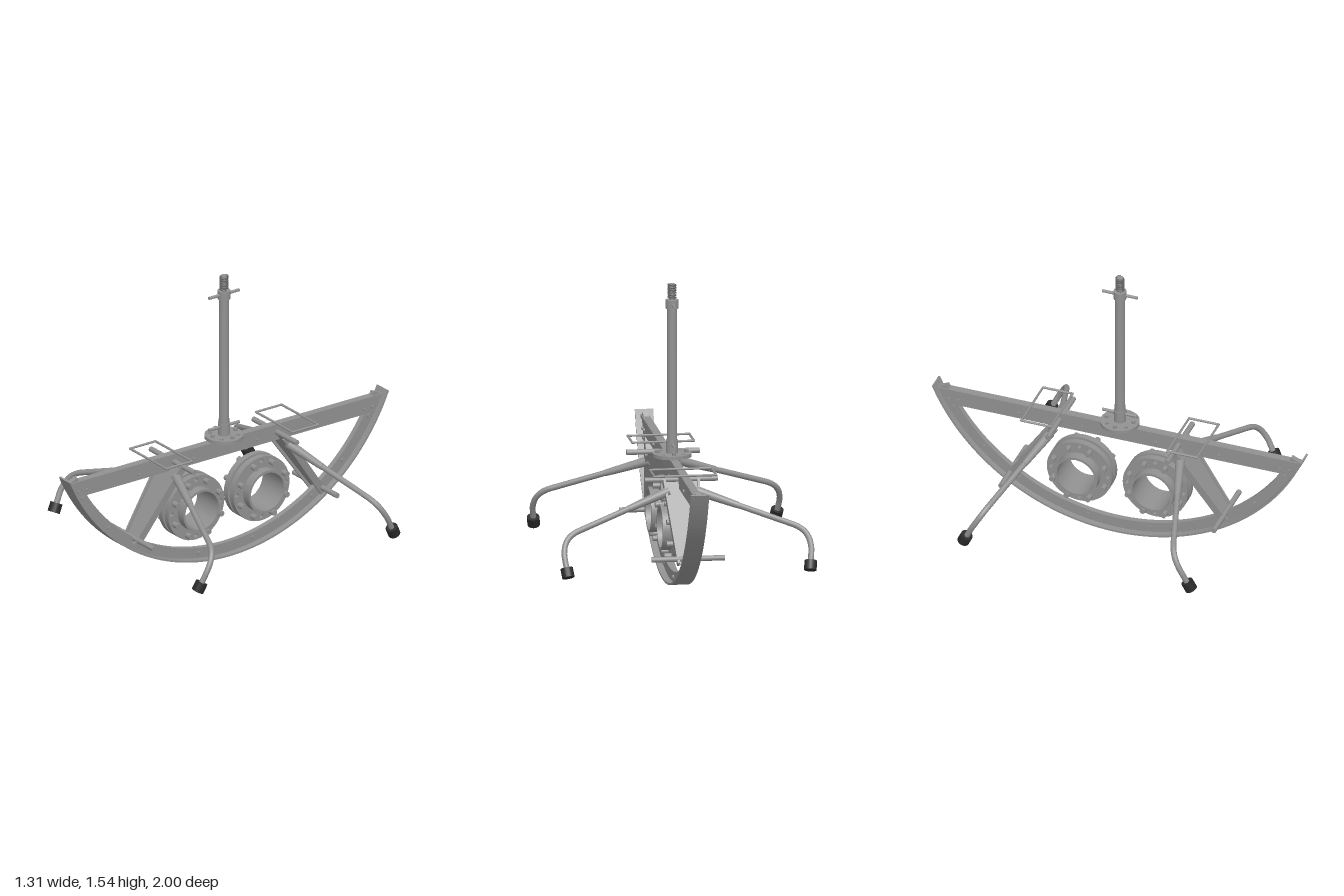
import * as THREE from 'three';
import { toCreasedNormals } from 'three/addons/utils/BufferGeometryUtils.js';

export function createModel() {
  const model = new THREE.Group();
  model.name = 'rockerStand';
  const steel = new THREE.MeshStandardMaterial({ color: 0x919191 });
  steel.name = 'grey steel';
  const dark = new THREE.MeshStandardMaterial({ color: 0x666666 });
  dark.name = 'dark steel';
  const rubber = new THREE.MeshStandardMaterial({ color: 0x2b2b2b });
  rubber.name = 'black rubber';
  const V = (x, y, z) => new THREE.Vector3(x, y, z);

  function add(name, geometry, material = steel, parent = model) {
    const mesh = new THREE.Mesh(geometry, material);
    mesh.name = name;
    parent.add(mesh);
    return mesh;
  }
  // Round bar between two points
  function rod(name, a, b, r, r2 = r, material = steel, sides = 14) {
    const dir = b.clone().sub(a);
    const mesh = add(name, new THREE.CylinderGeometry(r2, r, dir.length(), sides), material);
    mesh.position.copy(a).add(b).multiplyScalar(0.5);
    mesh.quaternion.setFromUnitVectors(V(0, 1, 0), dir.normalize());
    return mesh;
  }
  const crossBolt = (name, y, z, half, r, sides = 8) =>
    rod(name, V(-half, y, z), V(half, y, z), r, r, steel, sides);
  // Shape drawn in (z, y), given a thickness across x
  function sidePlate(name, shape, width, curveSegments = 40) {
    const g = new THREE.ExtrudeGeometry(shape, { depth: width, bevelEnabled: false, curveSegments });
    g.translate(0, 0, -width / 2).rotateY(-Math.PI / 2);
    return add(name, g);
  }

  // Curved runner: wide outer strap with a narrow web inside
  const R = 1.088;
  function sector(outer, inner, half) {
    const s = new THREE.Shape();
    s.absarc(0, R, outer, -Math.PI / 2 - half, -Math.PI / 2 + half, false);
    s.absarc(0, R, inner, -Math.PI / 2 + half, -Math.PI / 2 - half, true);
    return s;
  }
  sidePlate('runnerStrap', sector(R, R - 0.01, 1.166), 0.094);
  sidePlate('runnerWeb', sector(R - 0.009, R - 0.065, 1.14), 0.028);
  for (const a of [0.16, 0.54, 0.77, 1.02]) for (const s of [-1, 1])
    crossBolt('runnerBolt', R - 1.05 * Math.cos(a), s * 1.05 * Math.sin(a), 0.023, 0.011);

  // Straight top beam with a slightly wider cap
  const beam = new THREE.Shape([[-0.98, 0.64], [-0.93, 0.55], [0.93, 0.55], [0.98, 0.64]]
    .map(([z, y]) => new THREE.Vector2(z, y)));
  sidePlate('beamWeb', beam, 0.028);
  add('beamCap', new THREE.BoxGeometry(0.042, 0.015, 1.95)).position.y = 0.632;
  for (const s of [-1, 1]) for (const z of [0.2, 0.54, 0.87, 0.92])
    crossBolt('beamBolt', 0.58, s * z, 0.023, 0.009);

  // Round base plate of the post, with holes and bolts
  const disc = new THREE.Shape();
  disc.absarc(0, 0, 0.1, 0, Math.PI * 2, false);
  for (let i = 0; i < 4; i++) {
    const a = (i + 0.5) * Math.PI / 2;
    const hole = new THREE.Path();
    hole.absarc(0.073 * Math.cos(a), 0.073 * Math.sin(a), 0.011, 0, Math.PI * 2, true);
    disc.holes.push(hole);
    const b = i * Math.PI / 2, x = 0.073 * Math.cos(b), z = 0.073 * Math.sin(b);
    rod('basePlateBolt', V(x, 0.635, z), V(x, 0.675, z), 0.011, 0.011, steel, 6);
  }
  const discGeo = new THREE.ExtrudeGeometry(disc, { depth: 0.018, bevelEnabled: false, curveSegments: 20 });
  add('basePlate', toCreasedNormals(discGeo.rotateX(-Math.PI / 2), 0.6)).position.y = 0.642;

  // Upright post, collars, cross pins and the coiled tip
  rod('post', V(0, 0.65, 0), V(0, 1.43, 0), 0.027, 0.025, steel, 24);
  rod('lowerCollar', V(0, 0.66, 0), V(0, 0.725, 0), 0.031, 0.031, steel, 24);
  rod('upperCollar', V(0, 1.41, 0), V(0, 1.455, 0), 0.033, 0.033, steel, 24);
  for (const y of [0.705, 1.433]) rod('postPin', V(0, y, -0.095), V(0, y, 0.095), 0.008);
  rod('tipCore', V(0, 1.45, 0), V(0, 1.537, 0), 0.016, 0.016, steel, 16);
  const coil = [];
  for (let i = 0; i <= 96; i++) {
    const a = i / 16 * Math.PI * 2;
    coil.push(V(0.019 * Math.cos(a), 1.459 + 0.076 * i / 96, 0.019 * Math.sin(a)));
  }
  add('tipCoil', new THREE.TubeGeometry(new THREE.CatmullRomCurve3(coil), 144, 0.005, 6), dark);

  // Two flanged rings with bolts, lying across the frame
  for (const s of [-1, 1]) {
    const cz = s * 0.205, cy = 0.32;
    const sleeve = [[0.103, -0.092], [0.116, -0.092], [0.116, 0.092], [0.103, 0.092], [0.103, -0.092]]
      .map(([r, h]) => new THREE.Vector2(r, h));
    const g = toCreasedNormals(new THREE.LatheGeometry(sleeve, 40), 0.6);
    add('ringSleeve', g.rotateZ(Math.PI / 2)).position.set(0, cy, cz);
    const flange = new THREE.Shape();
    flange.absarc(0, 0, 0.175, 0, Math.PI * 2, false);
    const bore = new THREE.Path();
    bore.absarc(0, 0, 0.11, 0, Math.PI * 2, true);
    flange.holes.push(bore);
    for (let i = 0; i < 4; i++) {
      const a = i * Math.PI / 2, hole = new THREE.Path();
      hole.absarc(0.153 * Math.cos(a), 0.153 * Math.sin(a), 0.011, 0, Math.PI * 2, true);
      flange.holes.push(hole);
    }
    for (const side of [-1, 1]) {
      const f = sidePlate('ringFlange', flange, 0.034, 20);
      f.geometry = toCreasedNormals(f.geometry, 0.6);
      f.position.set(side * 0.025, cy, cz);
    }
    for (let i = 0; i < 8; i++) {
      const a = (i + 0.5) * Math.PI / 4;
      crossBolt('ringBolt', cy + 0.148 * Math.sin(a), cz + 0.148 * Math.cos(a), 0.077, 0.015, 12);
    }
  }

  for (const s of [-1, 1]) {
    // Sloping brace: tapered plate edged by two rails
    const brace = new THREE.Group();
    brace.name = 'brace';
    brace.position.set(0, 0.4, s * 0.452);
    brace.rotation.x = -s * Math.atan2(0.265, 0.38);
    model.add(brace);
    const h = 0.232;
    const plate = new THREE.Shape([[-0.05, -h], [0.05, -h], [0.088, h], [-0.088, h]]
      .map(([x, y]) => new THREE.Vector2(x, y)));
    add('bracePlate', new THREE.ExtrudeGeometry(plate, { depth: 0.01, bevelEnabled: false }), steel, brace)
      .position.z = -0.005;
    for (const side of [-1, 1]) {
      const rail = add('braceRail', new THREE.BoxGeometry(0.012, 2 * h, 0.038), steel, brace);
      rail.position.x = side * 0.069;
      rail.rotation.z = -side * Math.atan2(0.038, 2 * h);
    }

    // Cross bars at both ends of the brace
    crossBolt('upperCrossBar', 0.594, s * 0.322, 0.187, 0.014, 16);
    crossBolt('lowerCrossBar', 0.237, s * 0.575, 0.187, 0.014, 16);

    // Rectangular wire loop on the beam
    const corners = [[-0.158, 0.315], [0.158, 0.315], [0.158, 0.475], [-0.158, 0.475]]
      .map(([x, z]) => V(x, 0.645, s * z));
    corners.forEach((c, i) => {
      rod('wireLoop', c, corners[(i + 1) % 4], 0.006, 0.006, steel, 8);
      add('wireCorner', new THREE.SphereGeometry(0.006, 8, 6)).position.copy(c);
    });

    // Bent outrigger legs with rubber feet
    for (const side of [-1, 1]) {
      const p = (x, y, z) => V(side * x, y, s * z);
      const path = new THREE.CurvePath();
      path.add(new THREE.LineCurve3(p(0.07, 0.54, 0.352), p(0.545, 0.382, 0.493)));
      path.add(new THREE.CubicBezierCurve3(p(0.545, 0.382, 0.493), p(0.605, 0.362, 0.511),
        p(0.632, 0.33, 0.53), p(0.632, 0.265, 0.568)));
      path.add(new THREE.LineCurve3(p(0.632, 0.265, 0.568), p(0.623, 0.195, 0.602)));
      add('leg', new THREE.TubeGeometry(path, 48, 0.015, 10));
      rod('legSocket', p(0.07, 0.54, 0.352), p(0.28, 0.47, 0.414), 0.025, 0.017);
      rod('foot', p(0.625, 0.212, 0.595), p(0.619, 0.168, 0.617), 0.032, 0.032, rubber, 16);
    }
  }
  return model;
}
